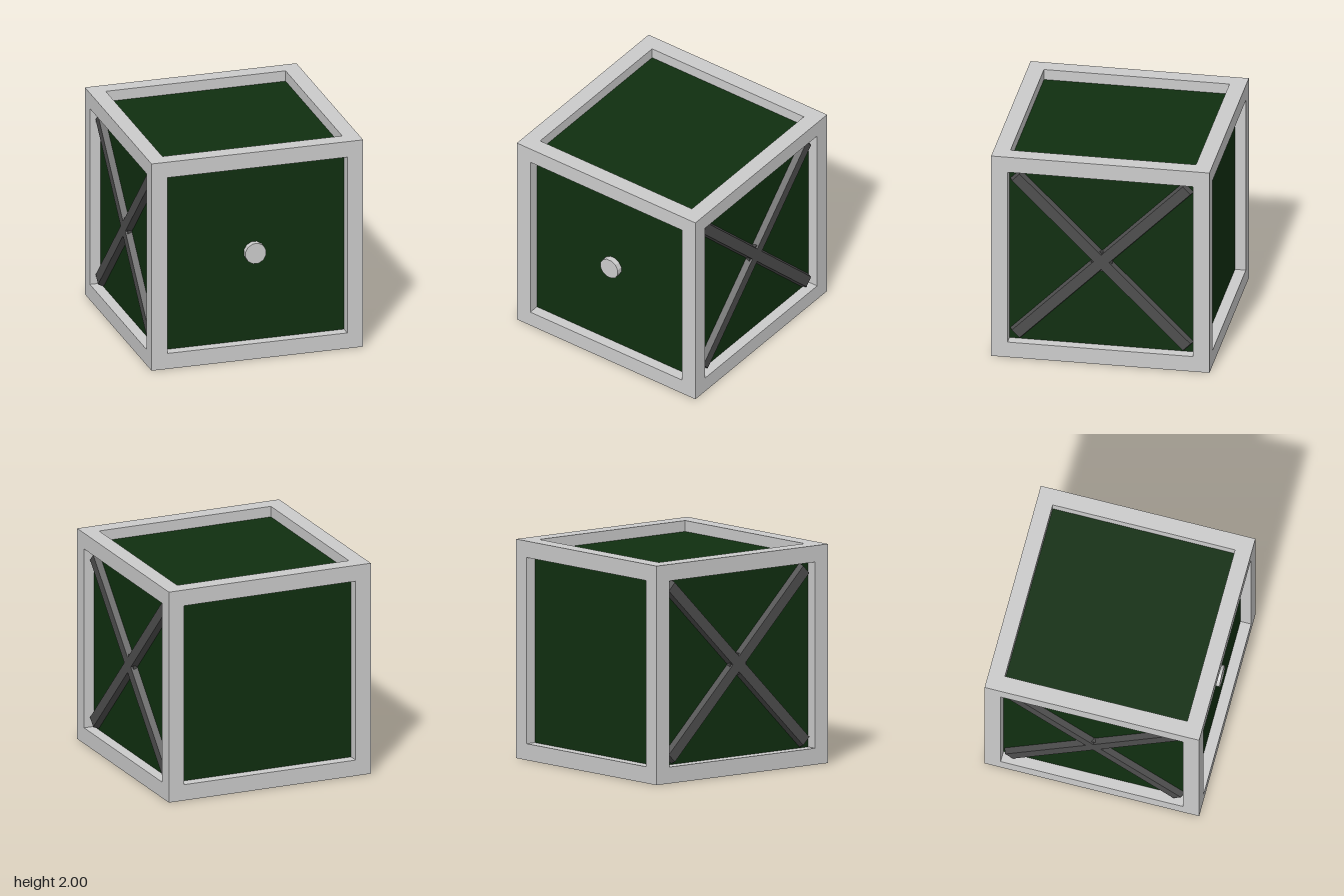
import * as THREE from 'three';

const grey = new THREE.MeshStandardMaterial({ color: 0xcccccc, flatShading: true });
const green = new THREE.MeshStandardMaterial({ color: 0x102f10, flatShading: true });
const dark = new THREE.MeshStandardMaterial({ color: 0x4e4e4e, flatShading: true });

function add(parent, name, geometry, material, x = 0, y = 0, z = 0) {
  const mesh = new THREE.Mesh(geometry, material);
  mesh.name = name;
  mesh.position.set(x, y, z);
  parent.add(mesh);
  return mesh;
}

// Bar lying along y whose outer (+z) face is narrower than its base
function taperedBar(width, length, depth, inset) {
  const g = new THREE.BoxGeometry(width, length, depth);
  const p = g.attributes.position;
  for (let i = 0; i < p.count; i++) {
    if (p.getZ(i) > 0) {
      p.setX(i, p.getX(i) - Math.sign(p.getX(i)) * inset);
      p.setY(i, p.getY(i) - Math.sign(p.getY(i)) * inset);
    }
  }
  g.computeVertexNormals();
  return g;
}

// Twelve-sided disc facing +z with flats at top and sides
function disc(radius, depth) {
  return new THREE.CylinderGeometry(radius, radius, depth, 12)
    .rotateY(Math.PI / 12).rotateX(Math.PI / 2);
}

export function createModel() {
  const model = new THREE.Group();
  model.name = 'crate';

  // Recessed panels: one inner box
  add(model, 'panels', new THREE.BoxGeometry(1.8, 1.8, 1.8), green, 0, 1, 0);

  // Frame: full-height posts, with rails fitted between them
  const t = 0.15, c = 1 - t / 2, inner = 2 - 2 * t;
  const frame = new THREE.Group();
  frame.name = 'frame';
  model.add(frame);
  for (const a of [-c, c]) {
    for (const b of [-c, c]) {
      add(frame, 'post', new THREE.BoxGeometry(t, 2, t), grey, a, 1, b);
      add(frame, 'sideRail', new THREE.BoxGeometry(t, t, inner), grey, a, 1 + b, 0);
      add(frame, 'crossRail', new THREE.BoxGeometry(inner, t, t), grey, 0, 1 + a, b);
    }
  }

  // Knob on the front panel
  add(model, 'knob', disc(0.1, 0.1), grey, 0, 1, 0.905);

  // Crossed braces with a hub on both sides
  for (const side of [-1, 1]) {
    const brace = new THREE.Group();
    brace.name = side > 0 ? 'leftBrace' : 'rightBrace';
    brace.position.set(side * 0.9, 1, 0);
    brace.rotation.y = side * Math.PI / 2;
    model.add(brace);
    for (const turn of [-1, 1]) {
      const bar = add(brace, 'braceBar', taperedBar(0.134, 2.25, 0.06, 0.017), dark, 0, 0, 0.025);
      bar.rotation.z = turn * Math.PI / 4;
    }
    add(brace, 'hub', disc(0.1, 0.08), dark);
  }
  return model;
}
